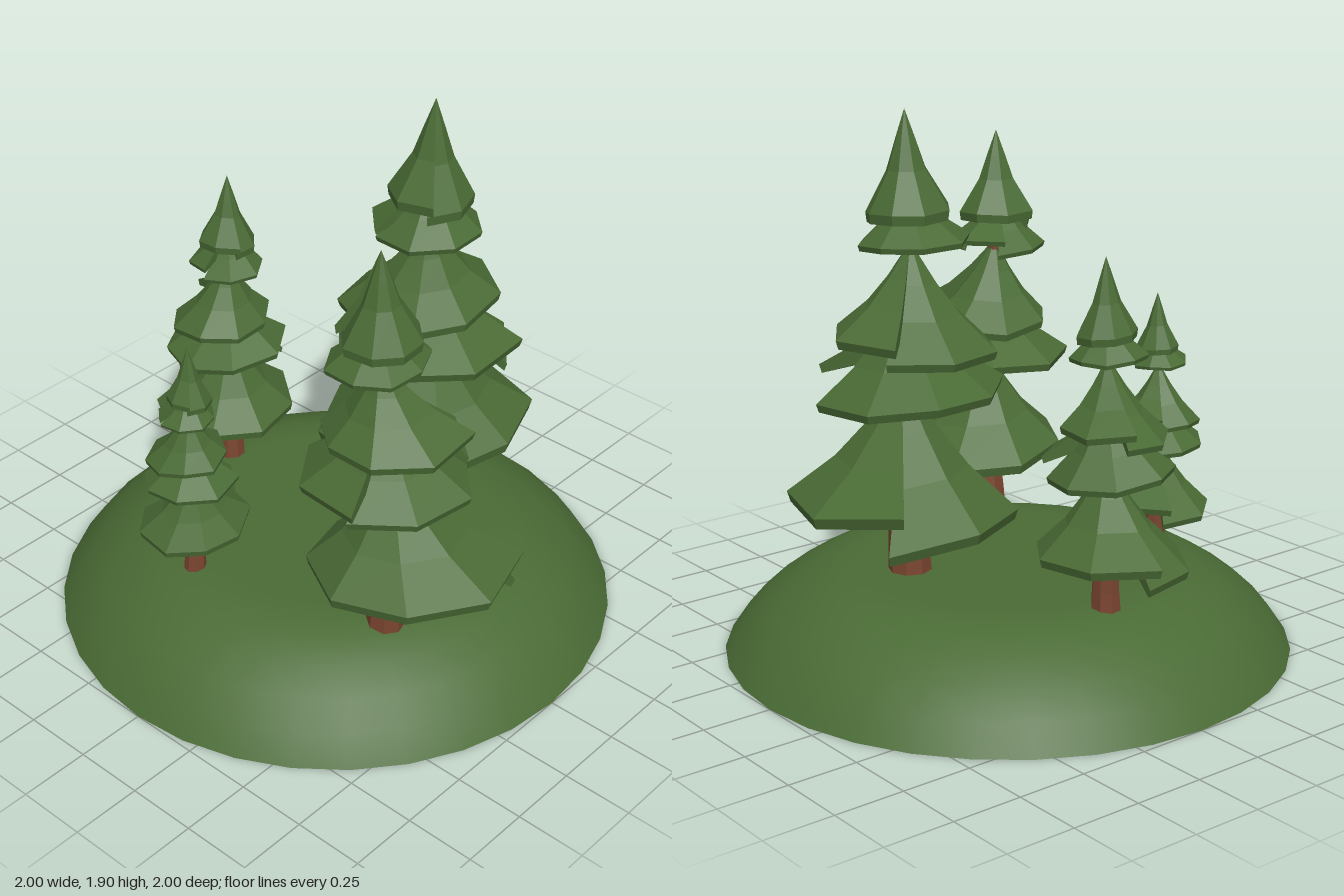
import * as THREE from 'three';

const green = new THREE.MeshStandardMaterial({ color: 0x4a6b35 });
const needles = new THREE.MeshStandardMaterial({ color: 0x4a6b35, flatShading: true });
const bark = new THREE.MeshStandardMaterial({ color: 0x7a4530, flatShading: true });

// Small seeded generator for the uneven rims
let seed = 7;
const jitter = (amount) => {
  seed = (seed * 16807) % 2147483647;
  return (seed / 2147483647 * 2 - 1) * amount;
};

function add(parent, name, geometry, material) {
  const mesh = new THREE.Mesh(geometry, material);
  mesh.name = name;
  parent.add(mesh);
  return mesh;
}

// Closed cross-sections [radius, height]: outside going down, rim lip, inside going up
const SKIRT = [[0.08, 1], [0.3, 0.68], [0.58, 0.35], [1, 0], [0.97, -0.1], [0.5, 0.14], [0.08, 0.45]];
const SPIRE = [[0, 1], [0.24, 0.7], [0.47, 0.4], [1, 0], [0.97, -0.1], [0.5, 0.08], [0.08, 0.2]];

// One sheet of foliage wrapped round the trunk, its two ends meeting at a stepped seam
function foliage({ top, rim, r, seam, axis, center, spire }) {
  const section = spire ? SPIRE : SKIRT;
  const sides = 8, slices = [], h = top - rim, positions = [];
  for (let i = 0; i <= sides; i++) {
    const t = i / sides;
    const angle = THREE.MathUtils.degToRad(seam) + t * (Math.PI * 2 + 0.12);
    const grow = 1 + 0.1 * Math.cos(t * Math.PI * 2) + 0.04 * (1 - 2 * t) + jitter(0.05);
    const lift = r * (0.13 * (1 - 2 * t) + jitter(0.05));
    slices.push(section.map(([f, y]) => new THREE.Vector3(
      THREE.MathUtils.lerp(axis[0], center[0], f) + Math.cos(angle) * f * r * grow,
      rim + y * h + lift * f,
      THREE.MathUtils.lerp(axis[1], center[1], f) + Math.sin(angle) * f * r * grow)));
  }
  const tri = (...points) => points.forEach((p) => positions.push(p.x, p.y, p.z));
  const quad = (a, b, c, d) => { tri(a, b, c); tri(a, c, d); };
  const n = section.length;
  for (let i = 0; i < sides; i++) {
    for (let k = 0; k < n; k++) {
      const m = (k + 1) % n;
      quad(slices[i][k], slices[i + 1][k], slices[i + 1][m], slices[i][m]);
    }
  }
  // Seam ends
  const a = slices[0], b = slices[sides];
  quad(a[2], a[3], a[4], a[5]);
  quad(a[1], a[2], a[5], a[6]);
  tri(a[0], a[1], a[6]);
  quad(b[5], b[4], b[3], b[2]);
  quad(b[6], b[5], b[2], b[1]);
  tri(b[6], b[1], b[0]);
  const geometry = new THREE.BufferGeometry();
  geometry.setAttribute('position', new THREE.Float32BufferAttribute(positions, 3));
  geometry.computeVertexNormals();
  return geometry;
}

// Tapered limb: a cylinder bent along a curve
function limb(points, r0, r1, sides, steps) {
  const curve = new THREE.CatmullRomCurve3(points.map((p) => new THREE.Vector3(...p)));
  const geometry = new THREE.CylinderGeometry(1, 1, 1, sides, steps);
  const pos = geometry.attributes.position;
  const up = new THREE.Vector3(0, 1, 0), v = new THREE.Vector3(), q = new THREE.Quaternion();
  for (let i = 0; i < pos.count; i++) {
    const t = THREE.MathUtils.clamp(pos.getY(i) + 0.5, 0, 1);
    v.set(pos.getX(i), 0, pos.getZ(i)).multiplyScalar(THREE.MathUtils.lerp(r0, r1, t));
    v.applyQuaternion(q.setFromUnitVectors(up, curve.getTangent(t))).add(curve.getPoint(t));
    pos.setXYZ(i, v.x, v.y, v.z);
  }
  geometry.computeVertexNormals();
  return geometry;
}

// Foliage sheets from bottom to top
const TIERS = [
  { top: 0.66, rim: 0.28, r: 0.385, seam: -54, axis: [0.025, 0], center: [0.05, -0.04] },
  { top: 0.95, rim: 0.66, r: 0.32, seam: 62, axis: [0, 0.01], center: [-0.01, -0.03] },
  { top: 1.12, rim: 0.83, r: 0.275, seam: -40, axis: [-0.03, 0.02], center: [-0.03, -0.02] },
  { top: 1.34, rim: 1.15, r: 0.19, seam: 200, axis: [-0.03, 0.03], center: [-0.03, 0.03] },
  { top: 1.6, rim: 1.26, r: 0.15, seam: 140, axis: [-0.02, 0.03], center: [-0.01, 0.02], spire: true },
];

function pine({ x, z, height, width, turn }) {
  const tree = new THREE.Group();
  tree.name = 'pineTree';
  add(tree, 'trunk', limb([[0, -0.03, 0], [0.01, 0.15, 0], [0.03, 0.33, -0.01],
    [0.025, 0.65, 0], [-0.02, 0.9, 0.01], [-0.03, 1.35, 0.03]], 0.078, 0.022, 8, 8), bark);
  // Upturned side branch below the second tier
  add(tree, 'branch', limb([[0.025, 0.61, 0], [0.025, 0.62, -0.06],
    [0.025, 0.66, -0.085], [0.025, 0.74, -0.09]], 0.018, 0.014, 6, 5), bark);
  TIERS.forEach((tier) => add(tree, 'foliageTier', foliage(tier), needles));
  tree.position.set(x, 0.3, z);
  tree.scale.set(width, height / 1.6, width);
  tree.rotation.y = -THREE.MathUtils.degToRad(turn);
  return tree;
}

export function createModel() {
  const model = new THREE.Group();
  model.name = 'pineGrove';

  // Grassy mound with a flat top and a flat underside
  const rise = [[1, 0], [0.935, 0.095], [0.85, 0.175], [0.75, 0.24], [0.66, 0.28], [0.58, 0.297], [0.5, 0.3], [0, 0.3]];
  add(model, 'mound', new THREE.LatheGeometry(rise.map((p) => new THREE.Vector2(...p)), 32), green);
  const underside = add(model, 'moundUnderside', new THREE.CircleGeometry(1, 32), green);
  underside.rotation.x = Math.PI / 2;

  [
    { x: 0.33, z: 0.13, height: 1.6, width: 1, turn: 0 },
    { x: -0.31, z: 0.51, height: 1.43, width: 0.9, turn: 100 },
    { x: 0.03, z: -0.56, height: 1.18, width: 0.68, turn: -28 },
    { x: -0.545, z: -0.17, height: 0.91, width: 0.51, turn: -8 },
  ].forEach((spec) => model.add(pine(spec)));

  return model;
}
